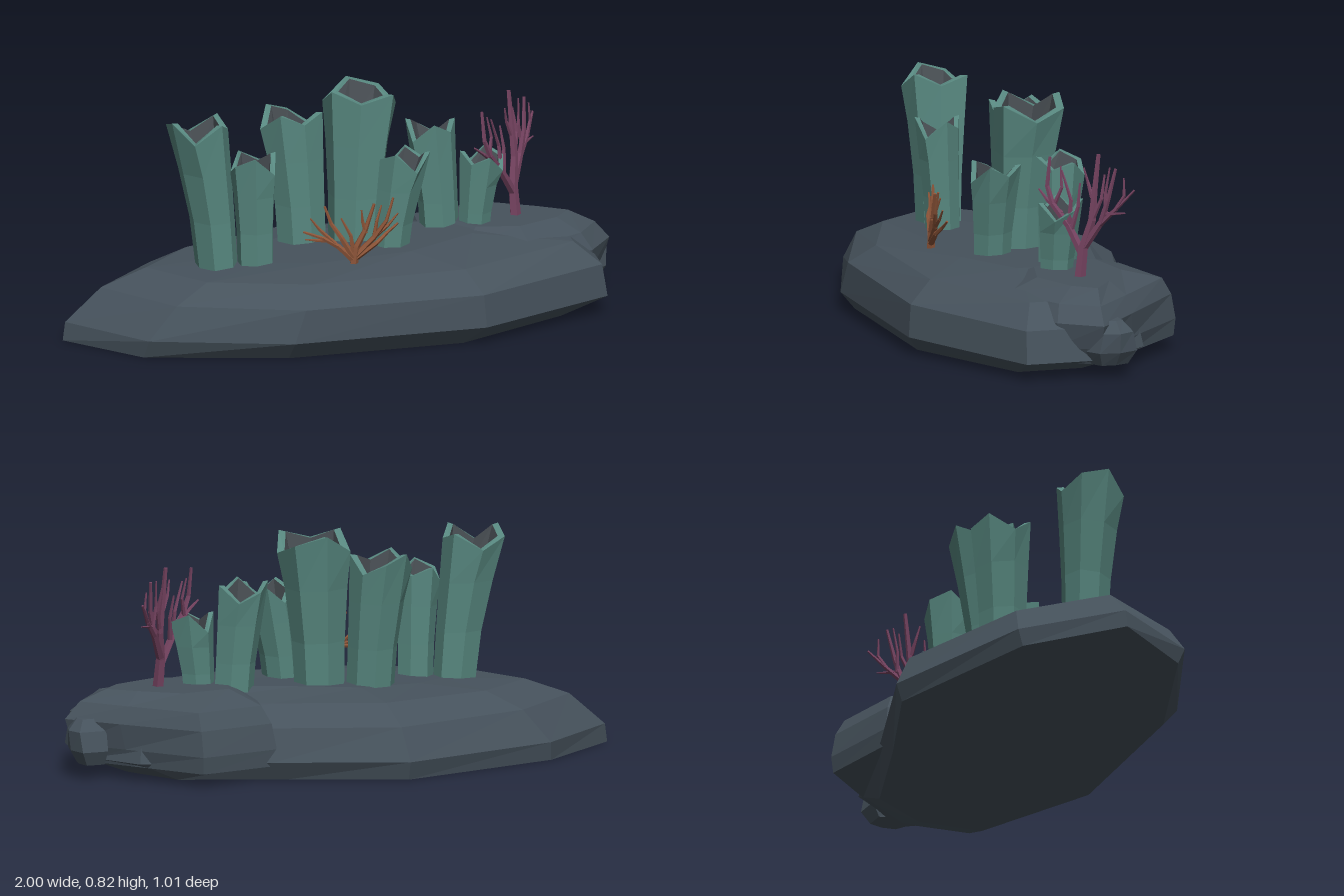
import * as THREE from 'three';

const mat = (name, color, flat = true) => {
  const m = new THREE.MeshStandardMaterial({ color, flatShading: flat });
  m.name = name;
  return m;
};

// Skin a stack of equal-length rings (counter-clockwise from above), with optional end caps.
function loft(rings, capBottom, capTop) {
  const n = rings[0].length, pos = [], idx = [];
  rings.forEach(r => r.forEach(p => pos.push(...p)));
  for (let k = 0; k < rings.length - 1; k++) {
    for (let i = 0; i < n; i++) {
      const j = (i + 1) % n, a = k * n, b = a + n;
      idx.push(a + i, a + j, b + j, a + i, b + j, b + i);
    }
  }
  const cap = (k, up) => {
    const c = [0, 1, 2].map(d => rings[k].reduce((s, p) => s + p[d], 0) / n);
    const ci = pos.length / 3;
    pos.push(...c);
    for (let i = 0; i < n; i++) {
      const a = k * n + i, b = k * n + (i + 1) % n;
      idx.push(ci, up ? a : b, up ? b : a);
    }
  };
  if (capBottom) cap(0, false);
  if (capTop) cap(rings.length - 1, true);
  const g = new THREE.BufferGeometry();
  g.setAttribute('position', new THREE.Float32BufferAttribute(pos, 3));
  g.setIndex(idx);
  const flat = g.toNonIndexed();
  flat.computeVertexNormals();
  return flat;
}

// Rock: one plan outline, scaled differently toward each side at every level.
// level = [y, slope of y along x, scale left, right, front, back]
function rockGeometry(outline, levels, cx = 0, cz = 0) {
  return loft(levels.map(([y, slope, l, r, f, b]) => outline.map(([x, z]) => {
    const dx = x - cx, dz = z - cz;
    return [cx + dx * (dx < 0 ? l : r), y + slope * x, cz + dz * (dz > 0 ? f : b)];
  })), true, true);
}

// Branching coral: tapered five-sided twigs along polylines in a curved fan.
function coral(name, material, branches, depth, thick) {
  const group = new THREE.Group();
  group.name = name;
  const up = new THREE.Vector3(0, 1, 0);
  branches.forEach(([r0, ...pts], b) => {
    const p = pts.map(([x, y], i) =>
      new THREE.Vector3(x, y, depth(x, y) + (i > 1 ? 0.012 * Math.sin(b * 2.4) : 0)));
    const radius = i => thick * r0 * (1 - 0.65 * i / (p.length - 1));
    for (let i = 0; i < p.length - 1; i++) {
      const dir = p[i + 1].clone().sub(p[i]);
      const twig = new THREE.Mesh(
        new THREE.CylinderGeometry(radius(i + 1), radius(i), dir.length() + 0.004, 5), material);
      twig.position.copy(p[i]).addScaledVector(dir, 0.5);
      twig.quaternion.setFromUnitVectors(up, dir.normalize());
      twig.name = 'twig';
      group.add(twig);
    }
  });
  return group;
}

export function createModel() {
  const model = new THREE.Group();
  model.name = 'coralReef';
  const slate = mat('slate rock', 0x46525c);
  const teal = mat('teal sponge', 0x57877f);
  const hollow = mat('dark sponge hollow', 0x4a5055);
  const plum = mat('plum coral', 0x74425f);
  const rust = mat('rust coral', 0x8c5438);
  const add = (name, geo, m, parent = model) => {
    const mesh = new THREE.Mesh(geo, m);
    mesh.name = name;
    parent.add(mesh);
  };

  // Rocks
  add('mainRock', rockGeometry(
    [[-1, -0.08], [-0.81, 0.25], [-0.34, 0.46], [0.36, 0.5], [0.89, 0.28],
      [0.93, 0.02], [0.8, -0.2], [0.36, -0.34], [-0.09, -0.51], [-0.69, -0.34]],
    [[0, 0, 1, 0.82, 0.88, 0.96], [0.065, 0, 0.99, 1, 1, 1], [0.18, 0, 0.86, 0.98, 0.98, 0.89],
      [0.25, 0.01, 0.7, 0.88, 0.8, 0.68], [0.278, 0.02, 0.4, 0.5, 0.45, 0.35]]), slate);
  add('backRock', rockGeometry(
    [[0.34, -0.33], [0.28, -0.08], [0.38, 0.18], [0.62, 0.27], [0.88, 0.16],
      [0.99, 0.03], [0.85, -0.14], [0.64, -0.39]].map(([x, z]) => [x, z]),
    [[0.05, 0, 1, 0.84, 0.9, 0.98], [0.11, 0, 1, 0.92, 1, 1], [0.2, 0, 0.95, 1, 1, 0.95],
      [0.26, 0, 0.85, 0.86, 0.9, 0.85], [0.303, 0, 0.6, 0.62, 0.55, 0.4]], 0.62, -0.05), slate);
  add('sideRock', rockGeometry(
    [[0.86, -0.02], [0.89, 0.09], [0.98, 0.04], [1, -0.03], [0.98, -0.1], [0.88, -0.1]],
    [[0.05, 0, 0.9, 0.5, 0.7, 0.7], [0.1, 0, 1, 0.9, 1, 1], [0.17, 0, 1, 1, 0.8, 0.8],
      [0.21, 0, 0.8, 0.6, 0.4, 0.4]], 0.92, -0.02), slate);

  // Tube sponges: base x, z, radius; rim x, z, radius; rim height; turn
  const jag = [0.033, -0.005, 0.025, -0.035, 0.005, 0.035, -0.03];
  const wobble = [1, 0.9, 1.08, 0.93, 1.04, 0.95, 1.06];
  [
    [-0.465, 0.03, 0.078, -0.53, 0.015, 0.115, 0.745, 2],
    [-0.34, 0.07, 0.066, -0.355, 0.085, 0.085, 0.62, 0],
    [-0.105, -0.1, 0.08, -0.137, -0.125, 0.105, 0.705, 4],
    [0.07, -0.04, 0.088, 0.103, -0.06, 0.132, 0.782, 5],
    [0.15, 0.1, 0.063, 0.203, 0.11, 0.088, 0.585, 1],
    [0.39, -0.05, 0.07, 0.362, -0.075, 0.09, 0.63, 3],
    [0.5, 0, 0.056, 0.532, -0.003, 0.08, 0.52, 6],
  ].forEach(([bx, bz, br, rx, rz, rr, h, turn]) => {
    const sponge = new THREE.Group();
    sponge.name = 'tubeSponge';
    model.add(sponge);
    const ring = (t, scale, rough) => jag.map((_, i) => {
      const a = (i + turn * 0.37) / jag.length * Math.PI * 2;
      const k = (i + turn) % jag.length, e = Math.pow(t, 1.4);
      const r = THREE.MathUtils.lerp(br, rr, e) * scale * wobble[k];
      return [THREE.MathUtils.lerp(bx, rx, e) + r * Math.cos(a),
        THREE.MathUtils.lerp(0.24, h, t) + jag[k] * rough,
        THREE.MathUtils.lerp(bz, rz, e) - r * Math.sin(a)];
    });
    const lip = ring(1, 0.78, 0.9);
    add('spongeWall', loft([ring(0, 1, 0), ring(0.35, 0.97, 0), ring(0.7, 0.98, 0),
      ring(1, 1, 1), lip], true, false), teal, sponge);
    add('spongeHollow', loft([lip, ring(0.75, 0.68, 0), ring(0.5, 0.4, 0)], false, true),
      hollow, sponge);
  });

  // Tall fan coral: relative thickness, then points (x, y)
  model.add(coral('tallFanCoral', plum, [
    [1.5, [0.66, 0.28], [0.655, 0.4], [0.67, 0.5], [0.665, 0.6], [0.66, 0.73]],
    [1.1, [0.655, 0.38], [0.6, 0.47], [0.545, 0.54], [0.52, 0.6], [0.515, 0.7]],
    [0.7, [0.57, 0.51], [0.52, 0.55], [0.48, 0.58]],
    [0.7, [0.6, 0.47], [0.595, 0.56], [0.56, 0.66]],
    [0.6, [0.545, 0.54], [0.56, 0.6], [0.545, 0.67]],
    [0.7, [0.61, 0.46], [0.62, 0.54], [0.61, 0.62]],
    [1.1, [0.66, 0.41], [0.7, 0.5], [0.72, 0.58], [0.73, 0.69]],
    [0.8, [0.69, 0.48], [0.74, 0.55], [0.78, 0.62]],
    [0.6, [0.71, 0.53], [0.7, 0.6], [0.705, 0.69]],
    [0.6, [0.74, 0.55], [0.76, 0.6], [0.755, 0.66]],
    [0.7, [0.67, 0.5], [0.69, 0.58], [0.68, 0.66]],
    [0.6, [0.66, 0.58], [0.64, 0.63], [0.63, 0.68]],
    [0.5, [0.72, 0.53], [0.77, 0.54]],
  ], (x, y) => -0.02 - 0.75 * (x - 0.66) - 0.16 * (y - 0.3), 0.014));

  // Low bushy coral
  model.add(coral('lowFanCoral', rust, [
    [1.3, [-0.04, 0.26], [-0.03, 0.33], [0, 0.39], [0.03, 0.48]],
    [1, [-0.04, 0.28], [-0.09, 0.33], [-0.14, 0.36], [-0.2, 0.38]],
    [1, [-0.04, 0.29], [-0.08, 0.36], [-0.11, 0.41], [-0.13, 0.47]],
    [0.7, [-0.1, 0.34], [-0.15, 0.39], [-0.18, 0.43]],
    [0.8, [-0.04, 0.3], [-0.05, 0.37], [-0.08, 0.43]],
    [0.6, [-0.12, 0.35], [-0.16, 0.35], [-0.19, 0.35]],
    [1, [-0.03, 0.3], [0.03, 0.36], [0.07, 0.42], [0.095, 0.5]],
    [0.9, [-0.03, 0.29], [0.04, 0.34], [0.08, 0.37], [0.12, 0.4]],
    [0.7, [0.04, 0.37], [0.08, 0.4], [0.115, 0.44]],
    [0.7, [0, 0.38], [-0.01, 0.42], [-0.015, 0.46]],
    [0.7, [0.03, 0.36], [0.04, 0.42], [0.06, 0.47]],
  ], x => 0.255 + 0.2 * x - 1.1 * x * x, 0.012));

  return model;
}
